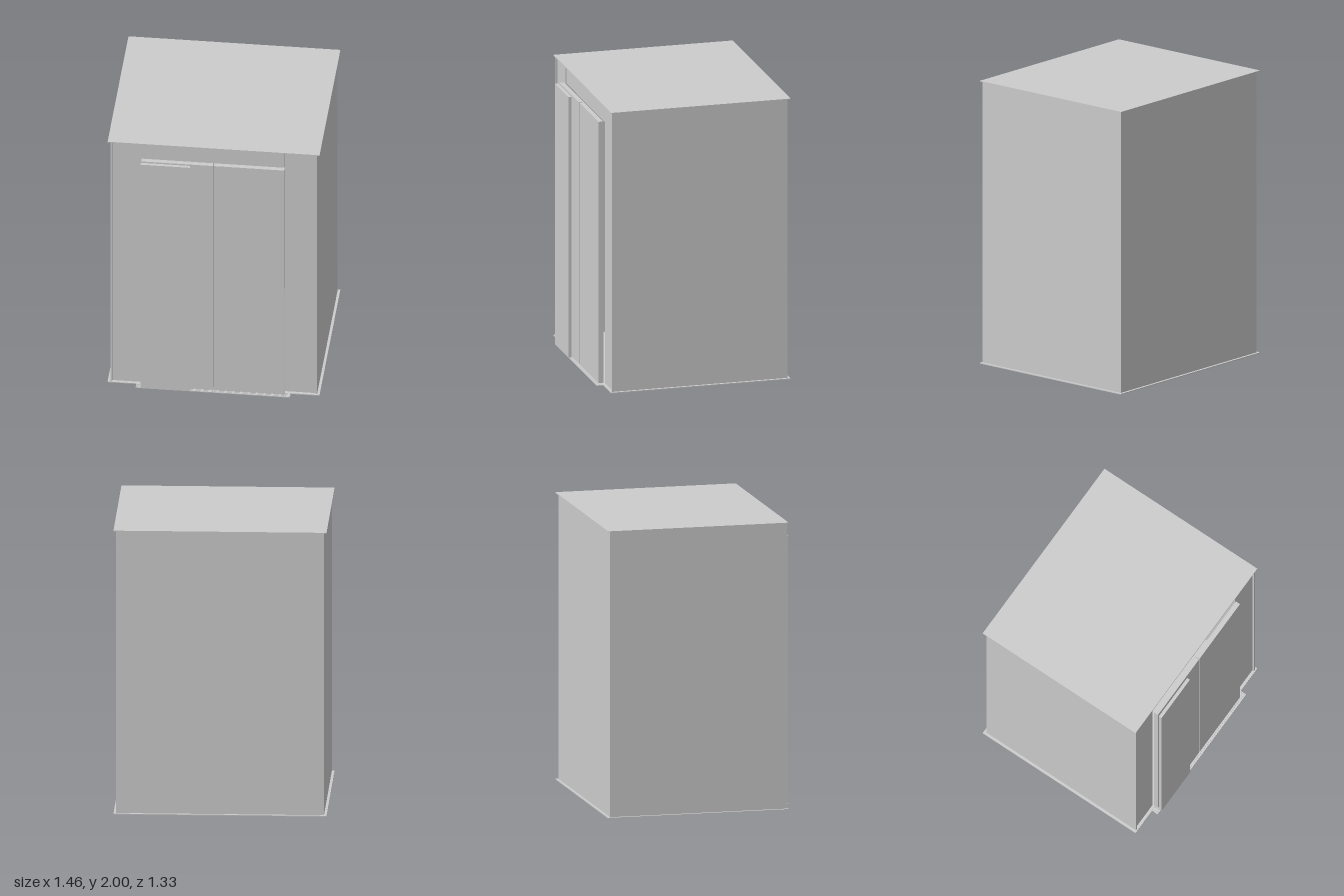
import * as THREE from 'three';

export function createModel() {
  const cabin = new THREE.Group();
  cabin.name = 'elevatorCabin';
  const steel = new THREE.MeshStandardMaterial({ color: 0xcccccc });
  steel.name = 'grey steel';

  // Box given by its limits along each axis
  function panel(name, [x0, x1], [y0, y1], [z0, z1]) {
    const geometry = new THREE.BoxGeometry(x1 - x0, y1 - y0, z1 - z0);
    geometry.translate((x0 + x1) / 2, (y0 + y1) / 2, (z0 + z1) / 2);
    const mesh = new THREE.Mesh(geometry, steel);
    mesh.name = name;
    cabin.add(mesh);
  }

  // Floor and roof plates overhang the walls slightly
  const plateX = [-0.729, 0.729], plateZ = [-0.664, 0.609];
  panel('floor', plateX, [0, 0.006], plateZ);
  panel('roof', plateX, [1.994, 2], plateZ);

  // Walls
  const wallY = [0.006, 1.994];
  panel('leftWall', [0.699, 0.711], wallY, [-0.646, 0.6]);
  panel('rightWall', [-0.711, -0.699], wallY, [-0.646, 0.6]);
  panel('backWall', [-0.699, 0.699], wallY, [-0.646, -0.634]);

  // Recessed front posts and the transom between them
  panel('leftFrontPost', [0.489, 0.699], wallY, [0.57, 0.588]);
  panel('rightFrontPost', [-0.699, -0.495], wallY, [0.57, 0.588]);
  panel('transom', [-0.49, 0.485], [1.86, 1.994], [0.565, 0.582]);

  // Grooved door sill
  panel('sill', [-0.531, 0.531], [0, 0.003], [0.6, 0.655]);
  for (let i = 0; i < 4; i++) {
    const z = 0.61 + i * 0.0125;
    panel('sillRib', [-0.531, 0.531], [0.003, 0.006], [z, z + 0.0075]);
  }

  // Inner door leaves and the sliding leaf in front of them
  panel('innerDoorRight', [-0.495, -0.003], [0.008, 1.87], [0.598, 0.632]);
  panel('innerDoorLeft', [0.003, 0.488], [0.008, 1.87], [0.598, 0.632]);
  panel('outerDoor', [-0.497, -0.157], [0.008, 1.865], [0.641, 0.664]);

  return cabin;
}
